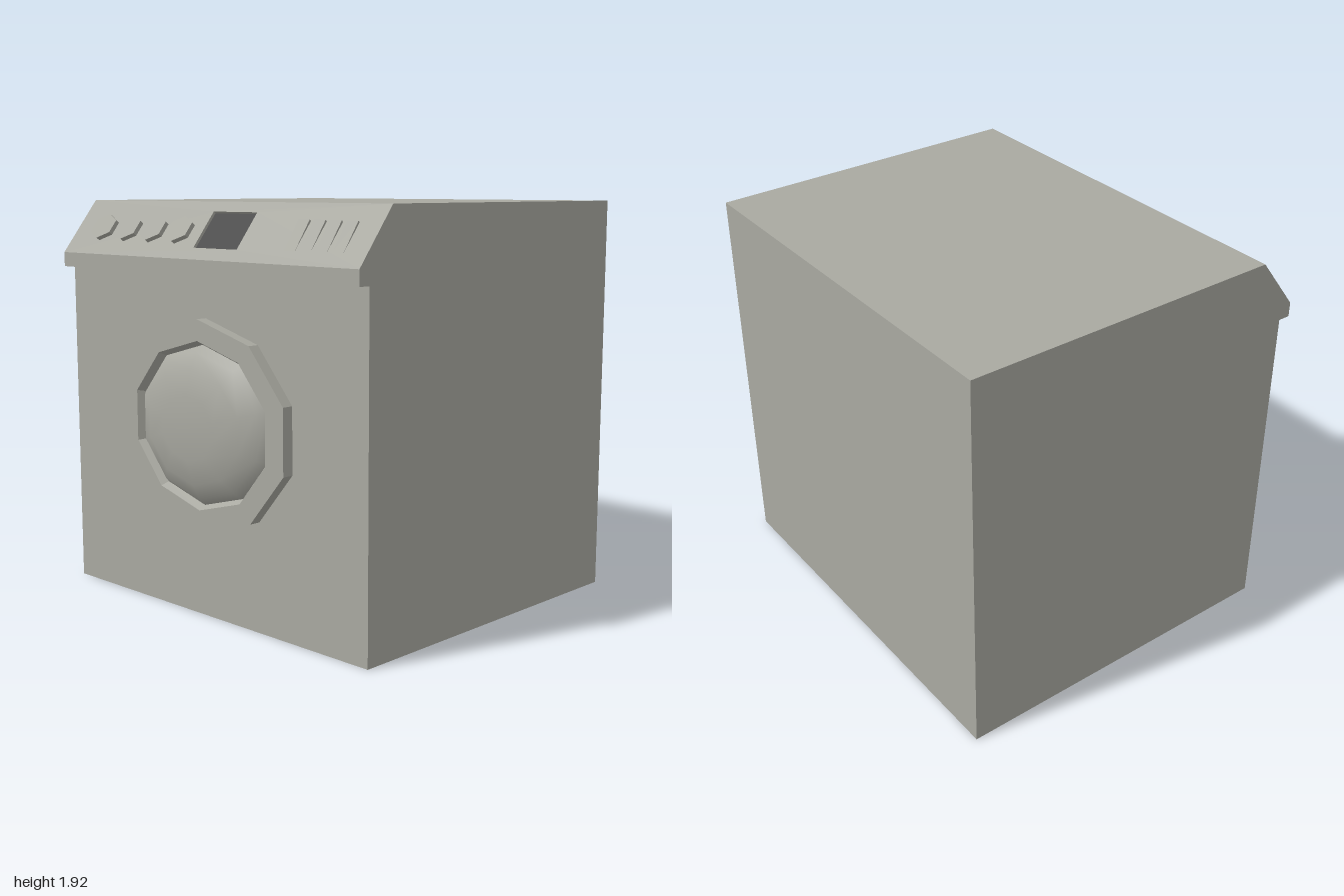
import * as THREE from 'three';

const casing = new THREE.MeshStandardMaterial({ color: 0xa9a9a1 });
casing.name = 'casing grey';
const screen = new THREE.MeshStandardMaterial({ color: 0x444444 });
screen.name = 'screen dark grey';

function addMesh(parent, name, geometry, material = casing) {
  const mesh = new THREE.Mesh(geometry, material);
  mesh.name = name;
  parent.add(mesh);
  return mesh;
}

function faceted(geometry) {
  const g = geometry.toNonIndexed();
  g.computeVertexNormals();
  return g;
}

const shapeOf = (pts) => new THREE.Shape(pts.map(([x, y]) => new THREE.Vector2(x, y)));

// Ten-sided form turned about the z axis; each point is [radius, z]
function turned(points) {
  const g = new THREE.LatheGeometry(points.map(([r, z]) => new THREE.Vector2(r, z)), 10);
  return g.rotateX(Math.PI / 2).scale(1, 0.84, 1).translate(0, 0.912, 0);
}

// Side profile given as [z, y], extruded along x about the centre
function crosswise(points, width) {
  const g = new THREE.ExtrudeGeometry(shapeOf(points), { depth: width, bevelEnabled: false });
  return g.rotateY(-Math.PI / 2).translate(width / 2, 0, 0);
}

export function createModel() {
  const model = new THREE.Group();
  model.name = 'washingMachine';

  // Sloped panel: local y runs up the slope, local z points out of it
  const low = [0.86, 1.67], high = [0.66, 1.925], depth = 0.015;
  const length = Math.hypot(high[0] - low[0], high[1] - low[1]);
  const nz = (high[1] - low[1]) / length, ny = (low[0] - high[0]) / length;
  const inset = ([z, y]) => [z - nz * depth, y - ny * depth];

  // Cabinet with overhanging lip; a notch takes the panel plate
  addMesh(model, 'cabinet', crosswise([
    [-0.923, 0], [0.8, 0], [0.8, 1.6], [0.86, 1.6], low, inset(low),
    inset(high), high, [-0.923, 1.925],
  ], 2));

  const panel = new THREE.Group();
  panel.name = 'controlPanel';
  panel.position.set(0, low[1], low[0]);
  panel.rotation.x = -Math.atan2(ny, nz);
  model.add(panel);

  // Panel plate with a recess for the display
  const x0 = -0.055, x1 = 0.235, y0 = 0.064, y1 = 0.267;
  const plate = shapeOf([[-1, 0], [1, 0], [1, length], [-1, length]]);
  plate.holes.push(shapeOf([[x0, y0], [x0, y1], [x1, y1], [x1, y0]]));
  addMesh(panel, 'panelPlate',
    new THREE.ExtrudeGeometry(plate, { depth, bevelEnabled: false }).translate(0, 0, -depth));
  addMesh(panel, 'display', new THREE.BoxGeometry(x1 - x0, y1 - y0, 0.004), screen)
    .position.set((x0 + x1) / 2, (y0 + y1) / 2, -depth);

  // Four hexagonal knobs
  for (let i = 0; i < 4; i++) {
    const knob = new THREE.CylinderGeometry(0.085, 0.085, 0.022, 6);
    knob.rotateX(Math.PI / 2).scale(1, 0.84, 1);
    addMesh(panel, 'knob', faceted(knob)).position.set(-0.775 + i * 0.19, 0.152, 0.01);
  }

  // Four slim wedge buttons, raised at the top and flush at the bottom
  for (let i = 0; i < 4; i++) {
    const wedge = crosswise([[-0.004, 0.07], [0, 0.07], [0.01, 0.228], [-0.004, 0.228]], 0.065);
    addMesh(panel, 'button', wedge).position.x = 0.56 + i * 0.093;
  }

  // Door: faceted ring with bevelled opening and smooth domed window
  const door = new THREE.Group();
  door.name = 'door';
  model.add(door);
  addMesh(door, 'doorRing', faceted(turned([
    [0.585, 0.8], [0.585, 0.855], [0.467, 0.855], [0.443, 0.82],
  ])));
  addMesh(door, 'doorWindow', turned([
    [0.443, 0.82], [0.405, 0.855], [0.32, 0.89], [0.18, 0.923], [0, 0.923],
  ]));

  return model;
}
